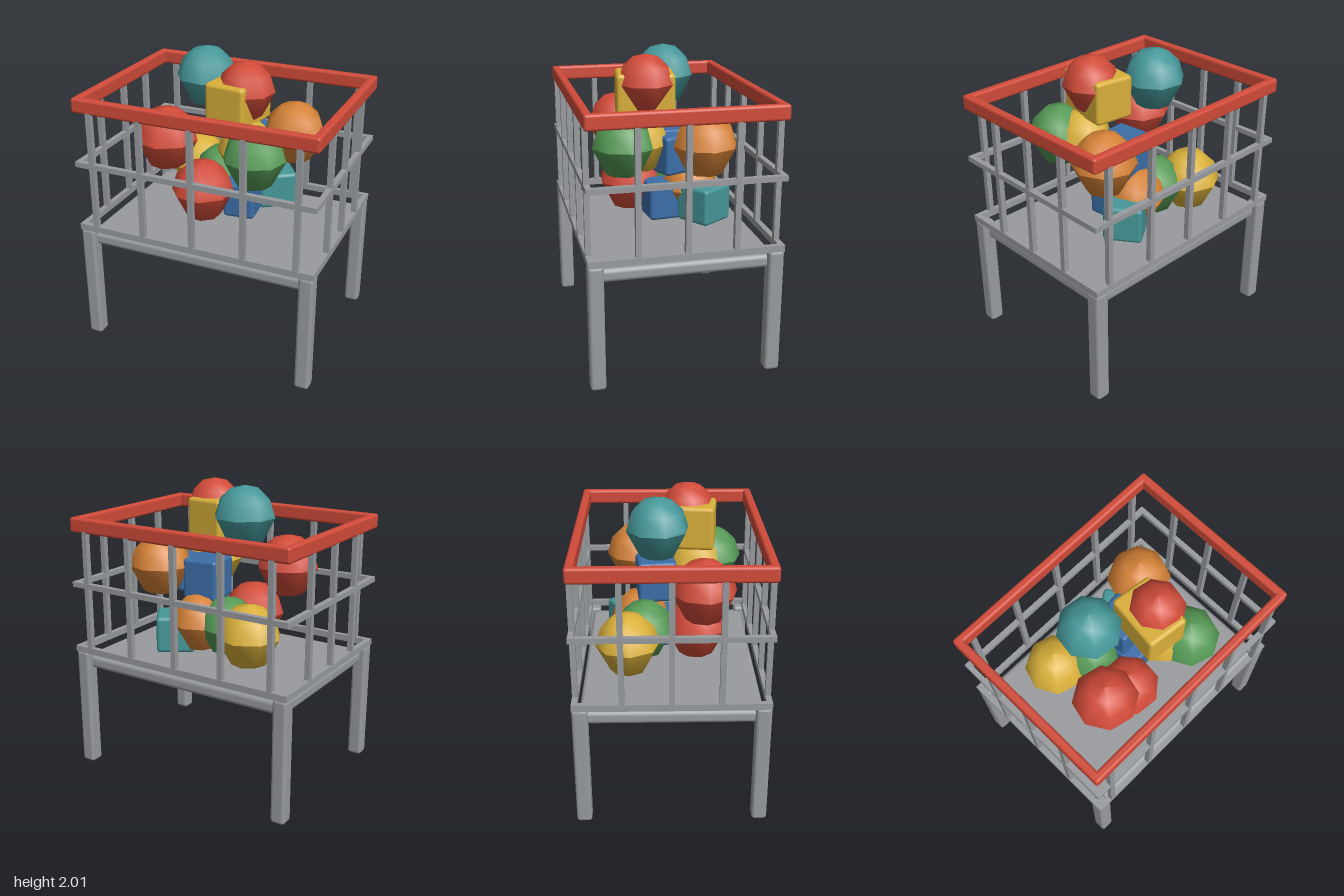
import * as THREE from 'three';
import { RoundedBoxGeometry } from 'three/addons/geometries/RoundedBoxGeometry.js';

const mat = (name, color) => {
  const m = new THREE.MeshStandardMaterial({ color });
  m.name = name;
  return m;
};

export function createModel() {
  const root = new THREE.Group();
  root.name = 'ballBin';
  const M = {
    metal: mat('grey metal', 0x989b9f),
    red: mat('red', 0xd14b39),
    orange: mat('orange', 0xd58236),
    yellow: mat('yellow', 0xd9b03a),
    green: mat('green', 0x559955),
    teal: mat('teal', 0x459799),
    blue: mat('blue', 0x3b6ea8),
  };

  const add = (name, geo, m, x, y, z, ry = 0, parent = root) => {
    const mesh = new THREE.Mesh(geo, m);
    mesh.name = name;
    mesh.position.set(x, y, z);
    mesh.rotation.y = ry;
    parent.add(mesh);
    return mesh;
  };
  const rounded = (w, h, d, r) => new RoundedBoxGeometry(w, h, d, 2, r);

  // Legs and floor slab
  for (const sx of [-1, 1]) for (const sz of [-1, 1])
    add('leg', rounded(0.1, 0.84, 0.1, 0.022), M.metal, sx * 0.782, 0.42, sz * 0.573);
  add('floor', rounded(1.58, 0.09, 1.16, 0.03), M.metal, 0, 0.76, 0);

  // Rectangular hoops of rails around the cage
  const hoop = (name, y, h, t, m, r) => {
    const X = 0.832, Z = 0.622;
    const make = (w, d) => r ? rounded(w, h, d, r) : new THREE.BoxGeometry(w, h, d);
    for (const s of [-1, 1]) {
      add(name, make(X * 2, t), m, 0, y, s * (Z - t / 2));
      add(name, make(t, Z * 2), m, s * (X - t / 2), y, 0);
    }
  };
  hoop('bottomRail', 0.857, 0.044, 0.036, M.metal);
  hoop('middleRail', 1.317, 0.036, 0.036, M.metal);
  hoop('topRim', 1.725, 0.1, 0.056, M.red, 0.018);

  // Upright bars
  const bar = new THREE.BoxGeometry(0.036, 0.83, 0.036);
  for (const s of [-1, 1]) {
    for (const x of [-0.71, -0.355, 0, 0.355, 0.71]) add('bar', bar, M.metal, x, 1.285, s * 0.603);
    for (const z of [-0.31, 0, 0.31]) add('bar', bar, M.metal, s * 0.812, 1.285, z);
  }

  // Eight-sided balls: two smooth halves meeting at a sharp equator
  const half = (pts) => new THREE.LatheGeometry(pts.map(([x, y]) => new THREE.Vector2(x, y)), 8);
  const upper = half([[1, 0], [0.82, 0.56], [0.46, 0.89], [0, 1]]);
  const lower = half([[0, -1], [0.56, -0.85], [1, 0]]);
  const balls = [
    ['yellow', -0.36, 1.07, -0.28, 0.213, 0.1],
    ['red', -0.12, 1.08, 0.18, 0.213, 0.3],
    ['green', -0.13, 1.07, -0.17, 0.2, 0.2],
    ['orange', 0.08, 1.07, -0.2, 0.2, 0],
    ['red', -0.365, 1.435, 0.215, 0.215, 0.15],
    ['yellow', 0.21, 1.43, 0.18, 0.2, 0.35],
    ['green', 0.305, 1.435, 0.3, 0.208, 0.1],
    ['orange', 0.385, 1.435, -0.22, 0.213, 0.05],
    ['teal', -0.2, 1.8, -0.08, 0.205, 0.25],
    ['red', 0.17, 1.81, 0.125, 0.19, 0.2],
  ];
  for (const [c, x, y, z, r, ry] of balls) {
    const ball = new THREE.Group();
    ball.name = c + 'Ball';
    ball.position.set(x, y, z);
    ball.rotation.y = ry;
    ball.scale.setScalar(r);
    add('ballTop', upper, M[c], 0, 0, 0, 0, ball);
    add('ballBottom', lower, M[c], 0, 0, 0, 0, ball);
    root.add(ball);
  }

  // Toy blocks: colour, centre, size, turn
  const blocks = [
    ['blue', 0.1, 1.0, 0.0, 0.22, 0.25, 0.23, 0.1],
    ['teal', 0.235, 1.0, -0.26, 0.26, 0.25, 0.26, 0.6],
    ['blue', 0.085, 1.36, -0.09, 0.25, 0.28, 0.26, 0.1],
    ['blue', 0.26, 1.36, -0.02, 0.18, 0.26, 0.18, 0.4],
    ['yellow', 0.115, 1.735, 0.12, 0.28, 0.29, 0.38, -0.13],
  ];
  for (const [c, x, y, z, w, h, d, ry] of blocks)
    add(c + 'Block', rounded(w, h, d, 0.025), M[c], x, y, z, ry);

  return root;
}
